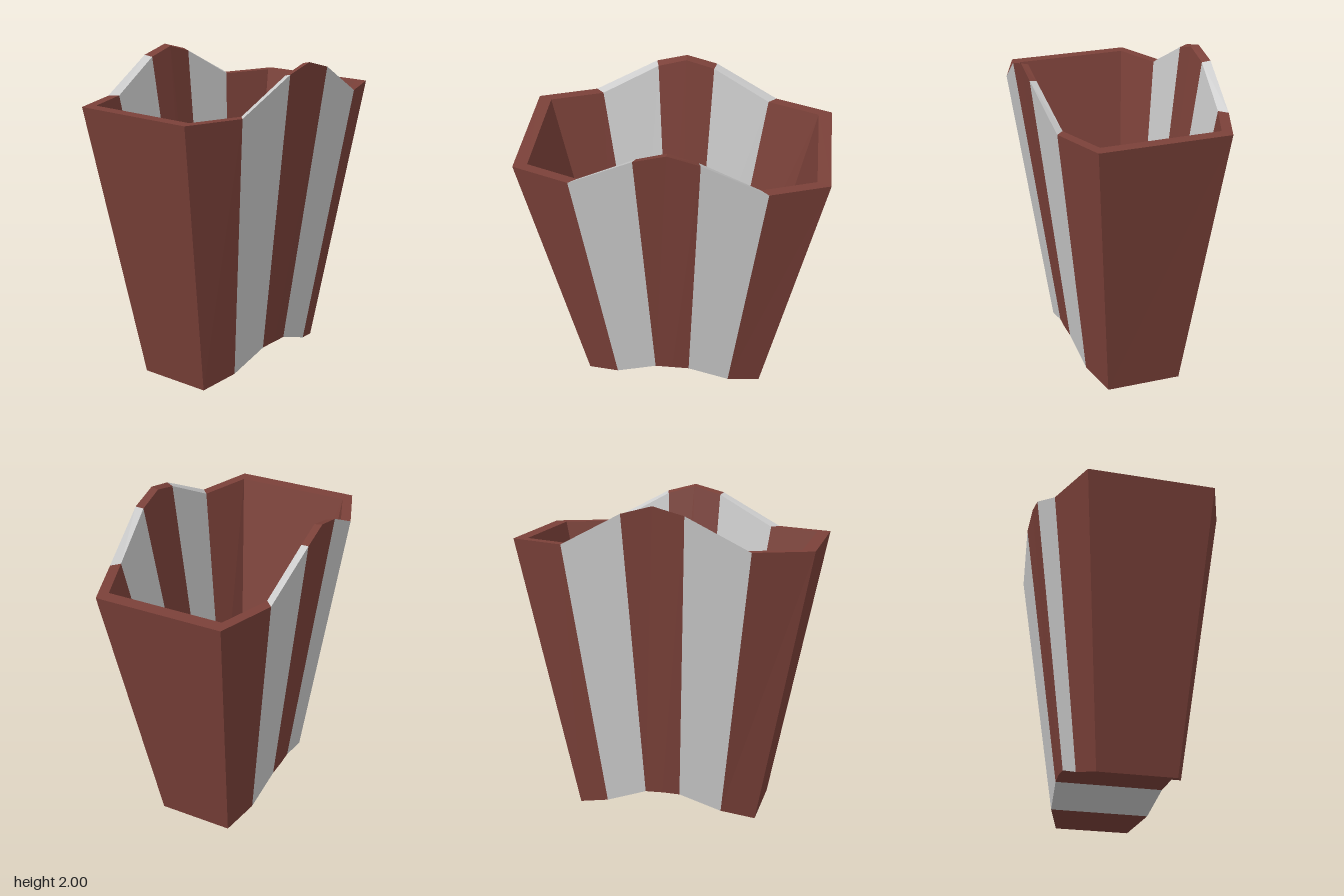
import * as THREE from 'three';

// Half of the tub from the middle outwards. Each station gives [x, y, zFront, zBack]
// for the outer foot, outer rim, inner rim and inner floor.
const stations = [
  { foot: [0, 0.16, 0.33, -0.355], rim: [0, 1.99, 0.565, -0.57], lip: [0, 1.98, 0.52, -0.52], floor: [0, 0.215, 0.265, -0.31] },
  { foot: [0.11, 0.155, 0.325, -0.35], rim: [0.19, 1.94, 0.565, -0.57], lip: [0.175, 1.93, 0.52, -0.52], floor: [0.095, 0.21, 0.265, -0.31] },
  { foot: [0.37, 0.06, 0.3, -0.325], rim: [0.573, 1.738, 0.517, -0.525], lip: [0.525, 1.738, 0.472, -0.478], floor: [0.295, 0.115, 0.24, -0.29] },
  { foot: [0.575, 0, 0.22, -0.253], rim: [0.92, 1.738, 0.39, -0.395], lip: [0.84, 1.738, 0.355, -0.36], floor: [0.47, 0.06, 0.18, -0.225] },
];

// Closed wall section at one station: up the front, over the rim, across the floor, and down the back
function section(s, side) {
  const front = (p) => [side * p[0], p[1], p[2]];
  const back = (p, lift = 0) => [side * p[0], p[1] + lift, p[3]];
  return [
    front(s.foot), front(s.rim), front(s.lip), front(s.floor),
    back(s.floor), back(s.lip, 0.01), back(s.rim, 0.01), back(s.foot),
  ];
}

const rings = [
  ...stations.slice(1).reverse().map((s) => section(s, -1)),
  ...stations.map((s) => section(s, 1)),
];

// One stripe wraps the whole section between two stations; end stripes are capped by the side wall
function stripe(name, from, to, material) {
  const pos = [];
  const quad = (a, b, c, d) => pos.push(...a, ...b, ...c, ...a, ...c, ...d);
  for (let i = from; i < to; i++) {
    const p = rings[i], q = rings[i + 1];
    for (let k = 0; k < 8; k++) {
      const n = (k + 1) % 8;
      quad(p[k], q[k], q[n], p[n]);
    }
  }
  // Outer side wall, rim and inner side wall
  const caps = [[0, 7, 6, 1], [1, 6, 5, 2], [2, 5, 4, 3]];
  for (const c of caps) {
    if (to === rings.length - 1) quad(...c.map((k) => rings[to][k]));
    if (from === 0) quad(...[...c].reverse().map((k) => rings[0][k]));
  }
  const geometry = new THREE.BufferGeometry();
  geometry.setAttribute('position', new THREE.Float32BufferAttribute(pos, 3));
  geometry.computeVertexNormals();
  const mesh = new THREE.Mesh(geometry, material);
  mesh.name = name;
  return mesh;
}

export function createModel() {
  const group = new THREE.Group();
  group.name = 'stripedTub';
  const red = new THREE.MeshStandardMaterial({ color: 0x7b4139, flatShading: true });
  const pale = new THREE.MeshStandardMaterial({ color: 0xcccccc, flatShading: true });

  group.add(
    stripe('rightEndStripe', 0, 1, red),
    stripe('rightPaleStripe', 1, 2, pale),
    stripe('middleStripe', 2, 4, red),
    stripe('leftPaleStripe', 4, 5, pale),
    stripe('leftEndStripe', 5, 6, red),
  );
  return group;
}
